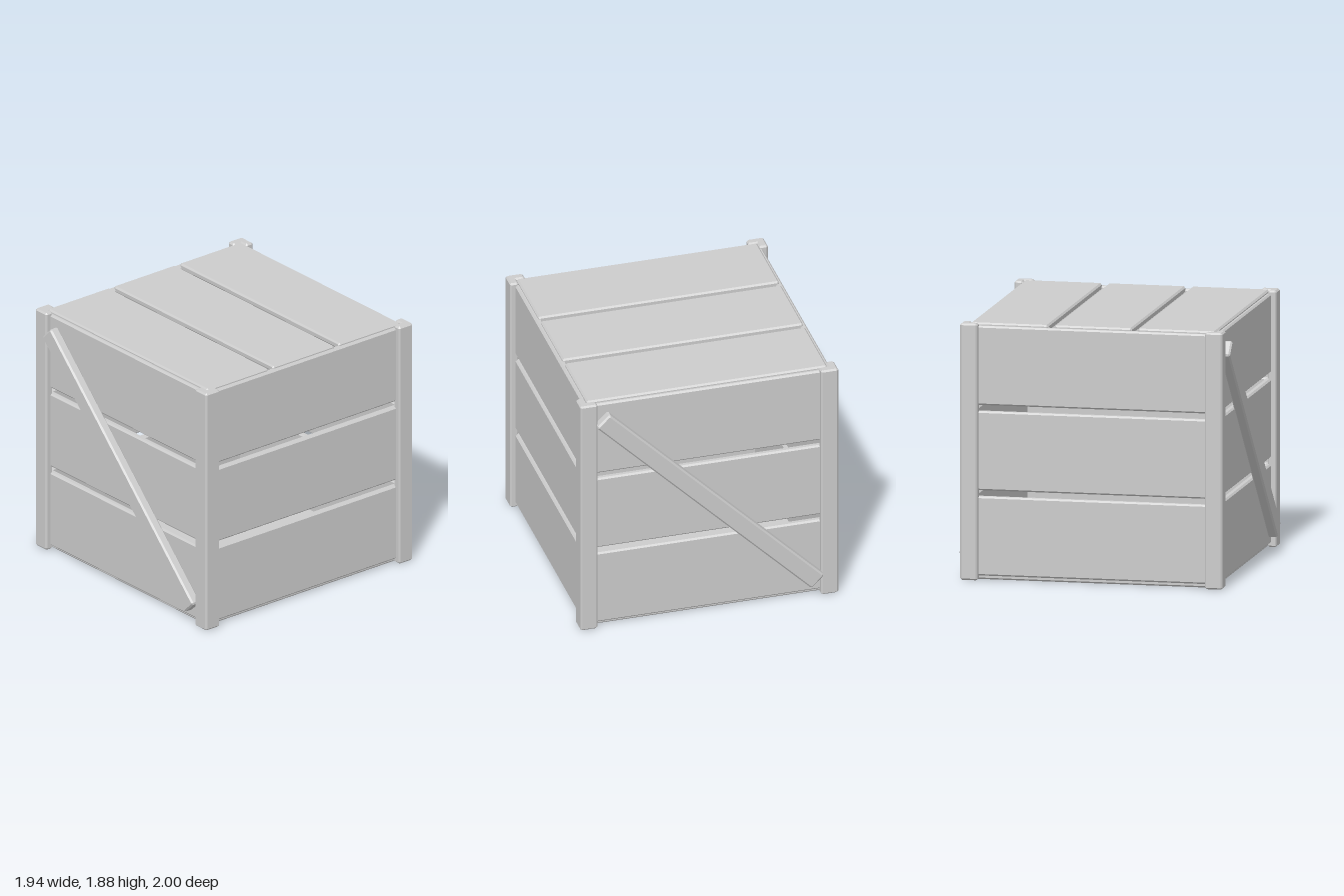
import * as THREE from 'three';

const BEVEL = 0.012;
const wood = new THREE.MeshStandardMaterial({ color: 0xcccccc });
wood.name = 'plain grey';

// Prism along z, centred, with every outer edge chamfered
function chamferedPrism(points, depth) {
  const shape = new THREE.Shape(points.map(([x, y]) => new THREE.Vector2(x, y)));
  const geometry = new THREE.ExtrudeGeometry(shape, {
    depth: depth - 2 * BEVEL,
    bevelEnabled: true,
    bevelSegments: 1,
    bevelSize: BEVEL,
    bevelThickness: BEVEL,
    bevelOffset: -BEVEL,
  });
  geometry.translate(0, 0, BEVEL - depth / 2);
  return geometry;
}

function chamferedBox(w, h, d) {
  const x = w / 2, y = h / 2, b = BEVEL;
  return chamferedPrism([
    [-x + b, -y], [x - b, -y], [x, -y + b], [x, y - b],
    [x - b, y], [-x + b, y], [-x, y - b], [-x, -y + b],
  ], d);
}

function add(parent, name, geometry, x, y, z) {
  const mesh = new THREE.Mesh(geometry, wood);
  mesh.name = name;
  mesh.position.set(x, y, z);
  parent.add(mesh);
  return mesh;
}

export function createModel() {
  const crate = new THREE.Group();
  crate.name = 'crate';

  // Four walls of three planks, with open gaps between them
  const wallPlank = chamferedBox(1.84, 0.58, 0.05);
  const wallNames = ['frontWall', 'leftWall', 'backWall', 'rightWall'];
  wallNames.forEach((name, side) => {
    const wall = new THREE.Group();
    wall.name = name;
    wall.rotation.y = side * Math.PI / 2;
    for (let i = 0; i < 3; i++) add(wall, 'wallPlank', wallPlank, 0, 0.32 + i * 0.625, 0.905);
    crate.add(wall);
  });

  // L-shaped corner posts
  const o = 0.97, i = 0.905, e = 0.84, b = BEVEL;
  const post = chamferedPrism([
    [o - b, -o], [o, -o + b], [o, -e - b], [o - b, -e], [i + b, -e], [i, -e - b],
    [i, -i], [e + b, -i], [e, -i - b], [e, -o + b], [e + b, -o],
  ], 1.88);
  post.rotateX(-Math.PI / 2);
  for (let k = 0; k < 4; k++) {
    add(crate, 'cornerPost', post, 0, 0.94, 0).rotation.y = k * Math.PI / 2;
  }

  // Lid planks and solid floor
  const lidPlank = chamferedBox(1.81, 0.05, 0.573);
  for (let k = -1; k <= 1; k++) add(crate, 'lidPlank', lidPlank, 0, 1.855, k * 0.618);
  add(crate, 'floor', chamferedBox(1.81, 0.05, 1.81), 0, 0.025, 0);

  // Diagonal braces on the front and back
  const brace = chamferedBox(2.285, 0.137, 0.075);
  brace.rotateZ(-Math.PI / 4);
  add(crate, 'frontBrace', brace, 0, 0.94, 0.9625);
  add(crate, 'backBrace', brace, 0, 0.94, -0.9625).rotation.y = Math.PI;

  return crate;
}
